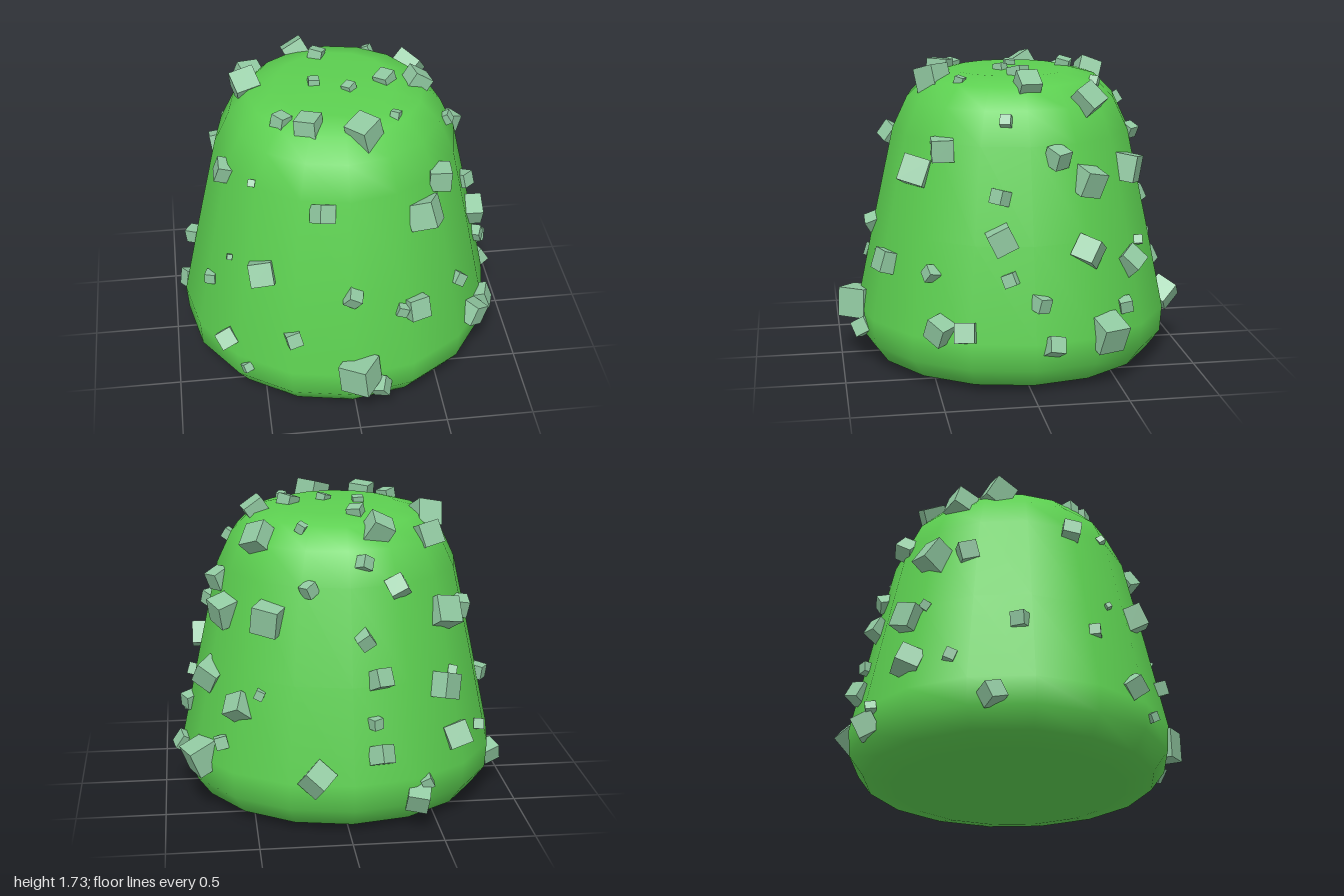
import * as THREE from 'three';

// Candy body outline: [radius, height]
const PROFILE = [[0, 0], [0.65, 0], [0.82, 0.04], [0.9, 0.15], [0.91, 0.3], [0.8, 0.82], [0.685, 1.34],
  [0.6, 1.52], [0.49, 1.63], [0.34, 1.67], [0, 1.675]];
const CX = -0.02, CZ = -0.01;

// Sugar grains on each side: [across, height, size]
const FRONT = [[-0.53, 1.35, 0.04], [-0.17, 1.28, 0.1], [0.5, 1.31, 0.12], [0.4, 1.17, 0.15],
  [-0.5, 0.87, 0.13], [-0.02, 0.79, 0.08], [0.34, 0.65, 0.12], [0.26, 0.66, 0.06], [0.62, 0.65, 0.07],
  [-0.35, 0.52, 0.08], [-0.71, 0.37, 0.1], [0.01, 0.32, 0.17], [0.13, 0.2, 0.09], [-0.61, 0.24, 0.05]];
const BACK = [[-0.28, 1.33, 0.1], [-0.1, 1.46, 0.07], [-0.55, 1.14, 0.15], [-0.09, 1.07, 0.08],
  [-0.17, 0.86, 0.1], [-0.54, 0.76, 0.14], [-0.6, 0.82, 0.05], [-0.14, 0.63, 0.06], [-0.17, 0.46, 0.1],
  [-0.62, 0.47, 0.13], [0.18, 0.34, 0.13], [-0.38, 0.19, 0.12], [-0.43, 0.27, 0.06], [0.41, 1.16, 0.15],
  [0.2, 1.33, 0.07], [0.58, 0.66, 0.12], [0.47, 0.75, 0.05], [0.68, 0.44, 0.07]];
const RIGHT = [[0.11, 1.47, 0.06], [-0.16, 1.28, 0.1], [0.16, 1.08, 0.08], [-0.33, 1.14, 0.14],
  [0.16, 0.86, 0.13], [-0.32, 0.77, 0.13], [0.12, 0.65, 0.07], [-0.04, 0.52, 0.08], [0.49, 0.36, 0.12],
  [0.36, 0.36, 0.11], [-0.11, 0.29, 0.09], [-0.42, 0.32, 0.16]];
const LEFT = [[0.24, 1.31, 0.1], [-0.34, 1.13, 0.1], [0.34, 0.65, 0.06], [-0.08, 0.65, 0.08],
  [-0.44, 0.45, 0.06], [-0.23, 0.2, 0.1], [0.44, 0.86, 0.03]];
// Sugar grains on the crown: [x, z, size]
const CROWN = [[-0.19, -0.49, 0.13], [0.22, -0.45, 0.05], [-0.48, -0.36, 0.13], [-0.09, -0.33, 0.08],
  [-0.51, -0.15, 0.14], [-0.14, -0.02, 0.06], [0.05, 0.06, 0.06], [0.26, -0.01, 0.09], [0.44, -0.03, 0.12],
  [0.44, -0.36, 0.14], [0.27, 0.32, 0.05], [0.08, 0.45, 0.14], [-0.21, 0.38, 0.12], [-0.35, 0.3, 0.08]];

// Linear lookup along the outline, from column a to column b
function lookup(value, a, b, points) {
  for (let i = 0; i < points.length - 1; i++) {
    const p = points[i], q = points[i + 1];
    const lo = Math.min(p[a], q[a]), hi = Math.max(p[a], q[a]);
    if (value >= lo && value <= hi && hi > lo) return p[b] + (q[b] - p[b]) * (value - p[a]) / (q[a] - p[a]);
  }
  return 0;
}
const radiusAt = (y) => lookup(y, 1, 0, PROFILE.slice(1));
const crownHeight = (x, z) => lookup(Math.hypot(x - CX, z - CZ), 0, 1, PROFILE.slice(4));

let seed = 11;
function random() {
  seed = (seed * 16807) % 2147483647;
  return seed / 2147483647;
}

export function createModel() {
  const group = new THREE.Group();
  const candyGreen = new THREE.MeshStandardMaterial({ color: 0x5ccf50 });
  candyGreen.name = 'candyGreen';
  const sugarGreen = new THREE.MeshStandardMaterial({ color: 0x90c8a0 });
  sugarGreen.name = 'sugarGreen';

  // Rounded, tapering candy body
  const body = new THREE.Mesh(
    new THREE.LatheGeometry(PROFILE.map(([r, y]) => new THREE.Vector2(r, y)), 16), candyGreen);
  body.name = 'candyBody';
  body.position.set(CX, 0, CZ);
  group.add(body);

  // Tilted sugar cubes, half sunk in the surface
  const sugar = new THREE.Group();
  sugar.name = 'sugarCoating';
  group.add(sugar);
  const cube = new THREE.BoxGeometry(1, 1, 1);
  function addGrain(x, y, z, size) {
    const grain = new THREE.Mesh(cube, sugarGreen);
    grain.name = 'sugarGrain';
    grain.position.set(x, y, z);
    grain.scale.setScalar(size);
    grain.rotation.set((random() - 0.5) * 1.2, (random() - 0.5) * 1.5, (random() - 0.5) * 1.2);
    sugar.add(grain);
  }
  // Depth of the body surface at a given height and sideways distance
  const depth = (across, y) => Math.sqrt(Math.max(0, radiusAt(y) ** 2 - across ** 2));

  for (const [x, y, s] of FRONT) addGrain(x, y, CZ + depth(x - CX, y), s);
  for (const [x, y, s] of BACK) addGrain(x, y, CZ - depth(x - CX, y), s);
  for (const [z, y, s] of RIGHT) addGrain(CX + depth(z - CZ, y), y, z, s);
  for (const [z, y, s] of LEFT) addGrain(CX - depth(z - CZ, y), y, z, s);
  for (const [x, z, s] of CROWN) addGrain(x, crownHeight(x, z), z, s);

  return group;
}
